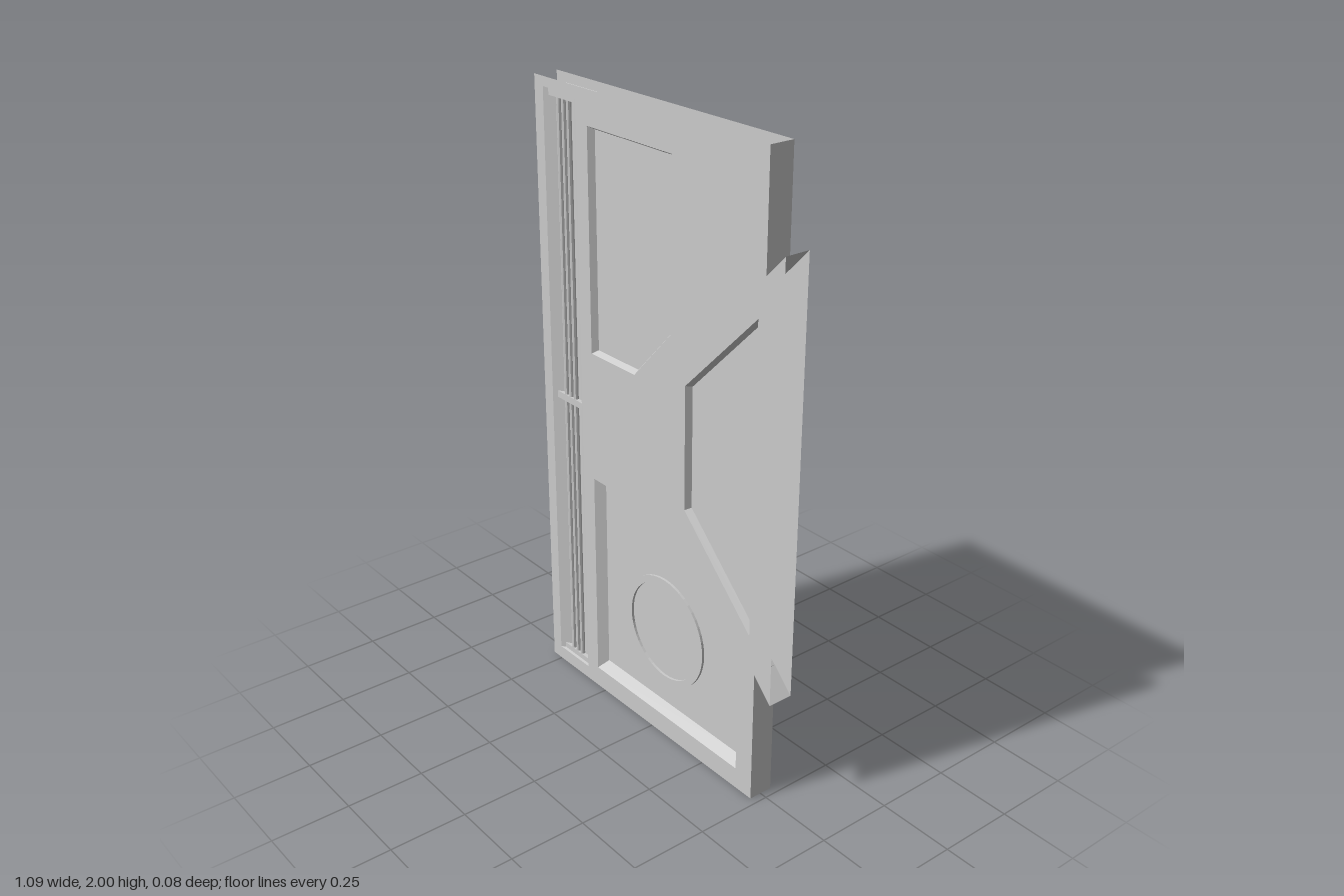
import * as THREE from 'three';

const material = new THREE.MeshStandardMaterial({ color: 0xcccccc, side: THREE.DoubleSide, flatShading: true });
const FACE_Z = 0.04;   // outer skin of each door face
const WING_Z = 0.041;  // skin of the side wing

const toVectors = (pts) => pts.map(([x, y]) => new THREE.Vector2(x, y));

function addMesh(parent, name, geometry, x = 0, y = 0, z = 0) {
  const mesh = new THREE.Mesh(geometry, material);
  mesh.name = name;
  mesh.position.set(x, y, z);
  parent.add(mesh);
  return mesh;
}

// Thin flat skin with cut-outs
function addSheet(parent, name, outline, holes, z) {
  const shape = new THREE.Shape(toVectors(outline));
  for (const hole of holes) shape.holes.push(new THREE.Path(toVectors(hole)));
  return addMesh(parent, name, new THREE.ShapeGeometry(shape), 0, 0, z);
}

// Strip of walls joining two matching outlines at different depths
function wallGeometry(a, za, b, zb, closed = true) {
  const positions = [];
  const count = closed ? a.length : a.length - 1;
  for (let i = 0; i < count; i++) {
    const j = (i + 1) % a.length;
    const p = [...a[i], za], q = [...a[j], za], r = [...b[j], zb], s = [...b[i], zb];
    positions.push(...p, ...q, ...r, ...p, ...r, ...s);
  }
  const geometry = new THREE.BufferGeometry();
  geometry.setAttribute('position', new THREE.Float32BufferAttribute(positions, 3));
  geometry.computeVertexNormals();
  return geometry;
}

function addRecess(parent, name, { rim, floor, depthZ }, topZ) {
  const group = new THREE.Group();
  group.name = name;
  addMesh(group, name + 'Walls', wallGeometry(rim, topZ, floor, depthZ));
  addSheet(group, name + 'Floor', floor, [], depthZ);
  parent.add(group);
}

// Outlines, anticlockwise
const wing = [[0.545, 1.73], [0.115, 1.29], [0.115, 0.81], [0.545, 0.375]];
const notch = [[0.475, 0.447], [0.115, 0.81], [0.115, 1.29], [0.475, 1.658]];
const body = [[-0.545, 0], [0.475, 0], ...notch, [0.475, 2], [-0.545, 2]];

const upperPanel = {
  rim: [[-0.29, 1.895], [-0.29, 1.2], [-0.08, 1.2], [0.09, 1.38], [0.09, 1.895]],
  floor: [[-0.278, 1.885], [-0.278, 1.21], [-0.084, 1.21], [0.081, 1.384], [0.081, 1.885]],
  depthZ: 0.021,
};
const lowerPanel = {
  rim: [[-0.29, 0.775], [-0.29, 0.07], [0.405, 0.07], [0.405, 0.45], [0.08, 0.775]],
  floor: [[-0.265, 0.765], [-0.265, 0.1], [0.39, 0.1], [0.398, 0.448], [0.078, 0.765]],
  depthZ: 0.0125,
};
const channel = {
  rim: [[-0.503, 1.97], [-0.503, 0.045], [-0.345, 0.045], [-0.345, 1.97]],
  floor: [[-0.46, 1.965], [-0.46, 0.05], [-0.388, 0.05], [-0.388, 1.965]],
  depthZ: 0.0125,
};
const wingPanel = {
  rim: [[0.45, 1.535], [0.155, 1.245], [0.155, 0.85], [0.45, 0.565]],
  floor: [[0.442, 1.515], [0.163, 1.24], [0.163, 0.855], [0.442, 0.585]],
  depthZ: 0.02,
};

function buildFace(name) {
  const face = new THREE.Group();
  face.name = name;

  // Main skin and its recesses
  addSheet(face, 'doorSkin', body, [upperPanel.rim, lowerPanel.rim, channel.rim], FACE_Z);
  addRecess(face, 'upperPanel', upperPanel, FACE_Z);
  addRecess(face, 'lowerPanel', lowerPanel, FACE_Z);
  addRecess(face, 'pipeChannel', channel, FACE_Z);

  // Side wing with its recessed panel
  addSheet(face, 'wingSkin', wing, [wingPanel.rim], WING_Z);
  addRecess(face, 'wingPanel', wingPanel, WING_Z);

  // Vertical pipes held by three brackets
  for (const x of [-0.448, -0.424, -0.4]) {
    addMesh(face, 'pipe', new THREE.CylinderGeometry(0.008, 0.008, 1.9, 8), x, 1.007, 0.023);
  }
  for (const y of [0.054, 0.997, 1.957]) {
    addMesh(face, 'pipeBracket', new THREE.BoxGeometry(0.185, 0.022, 0.013), -0.4275, y, 0.0245);
  }

  // Plain round trim on the lower panel
  const ring = new THREE.Shape().absarc(0, 0, 0.185, 0, Math.PI * 2);
  ring.holes.push(new THREE.Path().absarc(0, 0, 0.163, 0, Math.PI * 2, true));
  const trim = new THREE.ExtrudeGeometry(ring, { depth: 0.008, bevelEnabled: false, curveSegments: 24 });
  addMesh(face, 'roundTrim', trim, 0.035, 0.365, lowerPanel.depthZ);
  return face;
}

export function createModel() {
  const door = new THREE.Group();
  door.name = 'door';

  // Matching front and back faces
  const back = buildFace('backFace');
  back.scale.z = -1;
  door.add(buildFace('frontFace'), back);

  // Closed side edges above and below the wing
  for (const [y0, y1] of [[0, 0.447], [1.658, 2]]) {
    const edge = [[0.475, y0], [0.475, y1]];
    addMesh(door, 'sideEdge', wallGeometry(edge, FACE_Z, edge, -FACE_Z, false));
  }
  // Sloped and inner walls of the wing, open on its outer side
  addMesh(door, 'wingWalls', wallGeometry(wing, WING_Z, wing, -WING_Z, false));
  return door;
}
